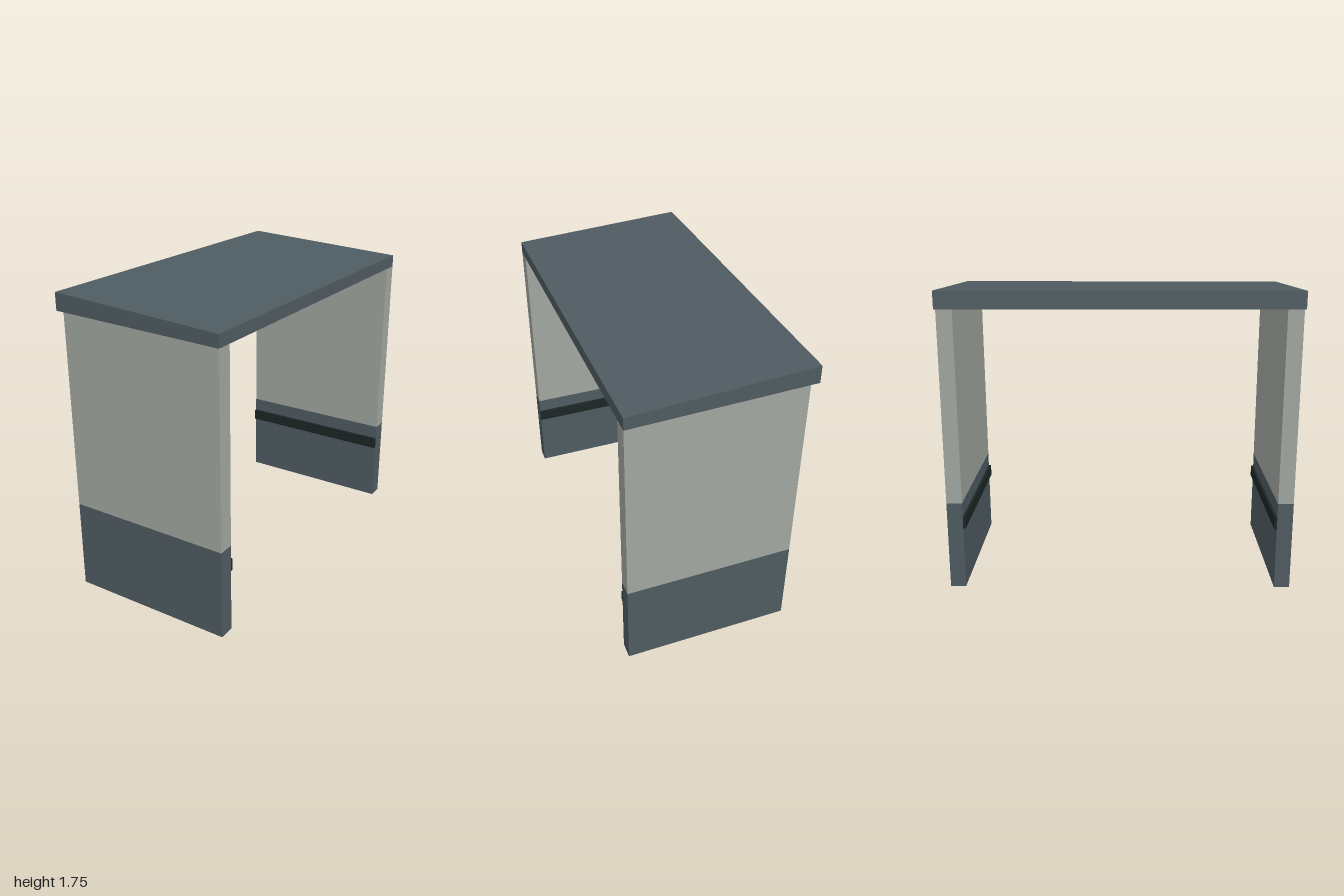
import * as THREE from 'three';

const paint = (name, color) => {
  const m = new THREE.MeshStandardMaterial({ color });
  m.name = name;
  return m;
};

// Prism from an x-y outline, extruded from z0 to z1
function prism(name, points, z0, z1, material) {
  const shape = new THREE.Shape(points.map(([x, y]) => new THREE.Vector2(x, y)));
  const geometry = new THREE.ExtrudeGeometry(shape, { depth: z1 - z0, bevelEnabled: false });
  geometry.translate(0, 0, z0);
  const mesh = new THREE.Mesh(geometry, material);
  mesh.name = name;
  return mesh;
}

export function createModel() {
  const slate = paint('slate', 0x4e5b61);
  const paleGrey = paint('pale grey', 0xa0a69f);
  const black = paint('near black', 0x1c2525);

  const model = new THREE.Group();
  model.name = 'shelter';

  const back = -0.46, front = 0.51, baseTop = 0.52;
  const underside = (x) => 1.645 - (x + 0.51) * 0.0255; // slope of the roof's lower face

  // Sloping roof slab, thicker at its high edge
  model.add(prism('roof', [
    [-0.51, underside(-0.51)], [0.51, underside(0.51)], [0.51, 1.69], [-0.51, 1.745],
  ], -1, 1, slate));

  // Two side walls, each with a dark base and an inner bumper rail
  for (const [side, s] of [['front', 1], ['rear', -1]]) {
    const wall = new THREE.Group();
    wall.name = side + 'Wall';
    const span = (a, b) => [Math.min(s * a, s * b), Math.max(s * a, s * b)];

    wall.add(prism('wallBase', [
      [back, 0], [front, 0], [front, baseTop], [back, baseTop],
    ], ...span(0.91, 1), slate));

    wall.add(prism('wallPanel', [
      [back, baseTop], [front, baseTop], [front, underside(front)], [back, underside(back)],
    ], ...span(0.91, 1), paleGrey));

    wall.add(prism('bumperRail', [
      [back, 0.365], [front, 0.365], [front, 0.435], [back, 0.435],
    ], ...span(0.895, 0.91), black));

    model.add(wall);
  }
  return model;
}
